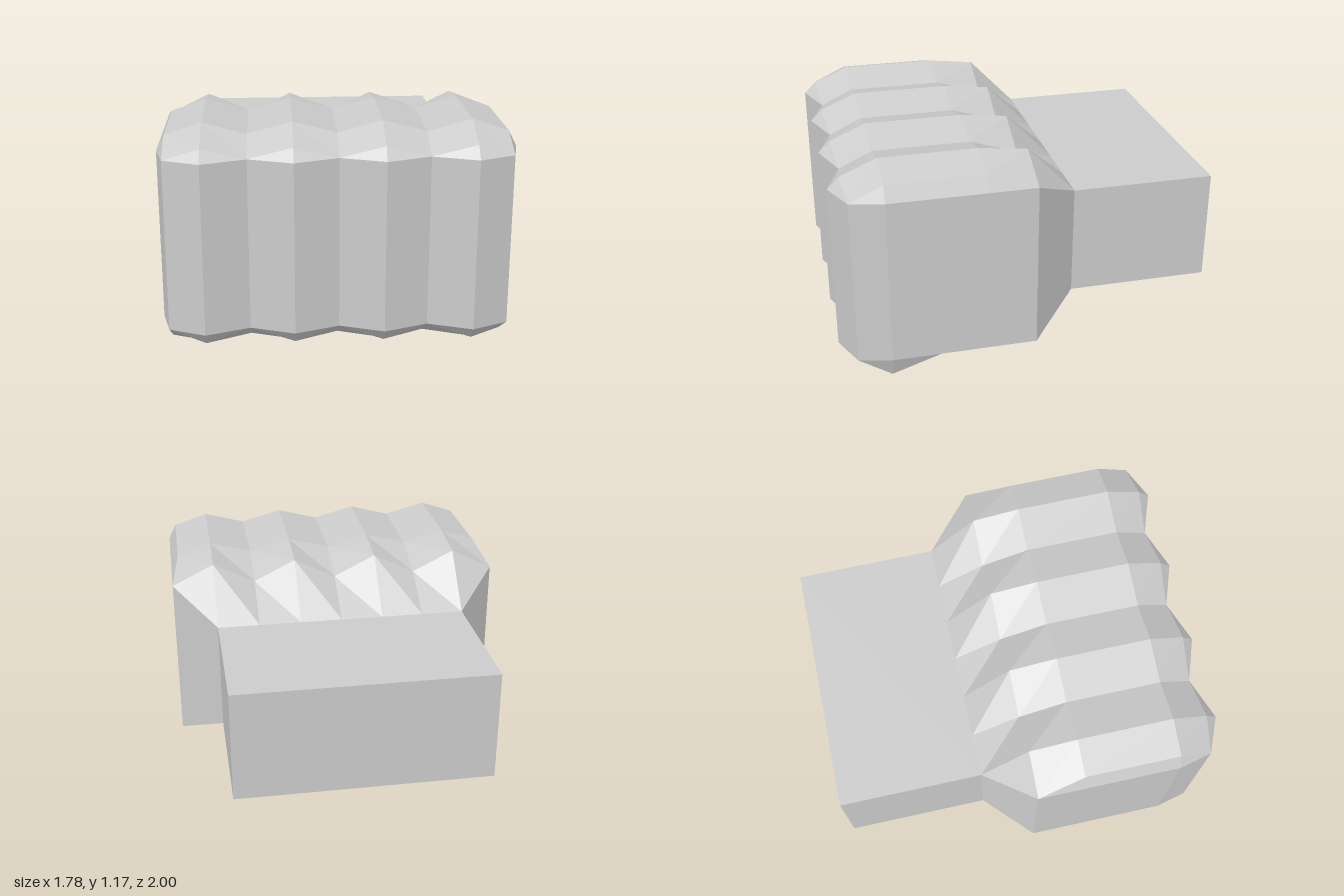
import * as THREE from 'three';

const material = new THREE.MeshStandardMaterial({ color: 0xcccccc, flatShading: true, side: THREE.DoubleSide });
const STEP = 2 / 9; // half a finger width
const LOW = 0.15, HIGH = 1.03;

// One side-on loop of the fist: back top, over the knuckles, round to back bottom.
// ridge = middle of a finger, otherwise the groove between two fingers.
function section(ridge, thumbFront, thumbBack) {
  return [
    [0.88, -0.25],
    [ridge ? 1.14 : HIGH, 0],
    [ridge ? 1.17 : 1.11, 0.25],
    [ridge ? 1.17 : 1.11, 0.75],
    [ridge ? 1.09 : HIGH, ridge ? 0.94 : 0.92],
    [HIGH, ridge ? 1 : 0.92],
    [LOW, ridge ? 1 : 0.92],
    [ridge ? 0.08 : LOW, ridge ? 0.94 : 0.92],
    [ridge ? 0 : 0.04, 0.75],
    [LOW, 0.5],
    [thumbFront ? 0 : LOW, 0.25],
    [thumbBack ? 0 : LOW, 0],
    [0.295, -0.25],
  ];
}

function column(i) {
  const ridge = Math.abs(i) % 2 === 1;
  const end = Math.abs(i) === 4, side = Math.sign(i);
  return section(ridge, i <= 1, i <= -3).map(([y, z]) => {
    let x = i * STEP;
    if (end) {
      if (z < 0) x = side * 3 * STEP;
      else x = side * (y === LOW && z < 0.9 || z === 0 && y === HIGH ? 0.89 : 0.85);
    }
    return new THREE.Vector3(x, y, z);
  });
}

// Outer rim of a side, where the fingers meet the flat side wall
function rim(col, side) {
  return col.map((p) => (p.z < 0 || p.z > 0.9)
    ? p.clone()
    : new THREE.Vector3(side * 0.89, THREE.MathUtils.clamp(p.y, LOW, HIGH), p.z));
}

function fistGeometry() {
  const cols = [];
  for (let i = -4; i <= 4; i++) cols.push(column(i));
  cols.unshift(rim(cols[0], -1));
  cols.push(rim(cols[cols.length - 1], 1));

  const positions = [];
  const tri = (a, b, c) => {
    const area = b.clone().sub(a).cross(c.clone().sub(a)).length();
    if (area > 1e-6) for (const p of [a, b, c]) positions.push(p.x, p.y, p.z);
  };
  const quad = (a, b, c, d) => { tri(a, b, c); tri(a, c, d); };

  // Skin between neighbouring loops
  for (let i = 0; i < cols.length - 1; i++) {
    const p = cols[i], q = cols[i + 1];
    for (let k = 0; k < p.length - 1; k++) quad(p[k], p[k + 1], q[k + 1], q[k]);
  }
  // Side walls: taper to the wrist, flat middle, front bevel
  for (const [a, b, c, d] of [[0, 1, 11, 12], [1, 3, 8, 11], [3, 5, 6, 8]]) {
    const r = cols[cols.length - 1], l = cols[0];
    quad(r[a], r[b], r[c], r[d]);
    quad(l[d], l[c], l[b], l[a]);
  }
  const geometry = new THREE.BufferGeometry();
  geometry.setAttribute('position', new THREE.Float32BufferAttribute(positions, 3));
  geometry.computeVertexNormals();
  return geometry;
}

export function createModel() {
  const model = new THREE.Group();
  model.name = 'fist';

  // Curled fingers, knuckles, palm and folded thumb
  const hand = new THREE.Mesh(fistGeometry(), material);
  hand.name = 'hand';
  model.add(hand);

  // Wrist block
  const wrist = new THREE.Mesh(new THREE.BoxGeometry(6 * STEP, 0.585, 0.75), material);
  wrist.name = 'wrist';
  wrist.position.set(0, 0.5875, -0.625);
  model.add(wrist);

  return model;
}
